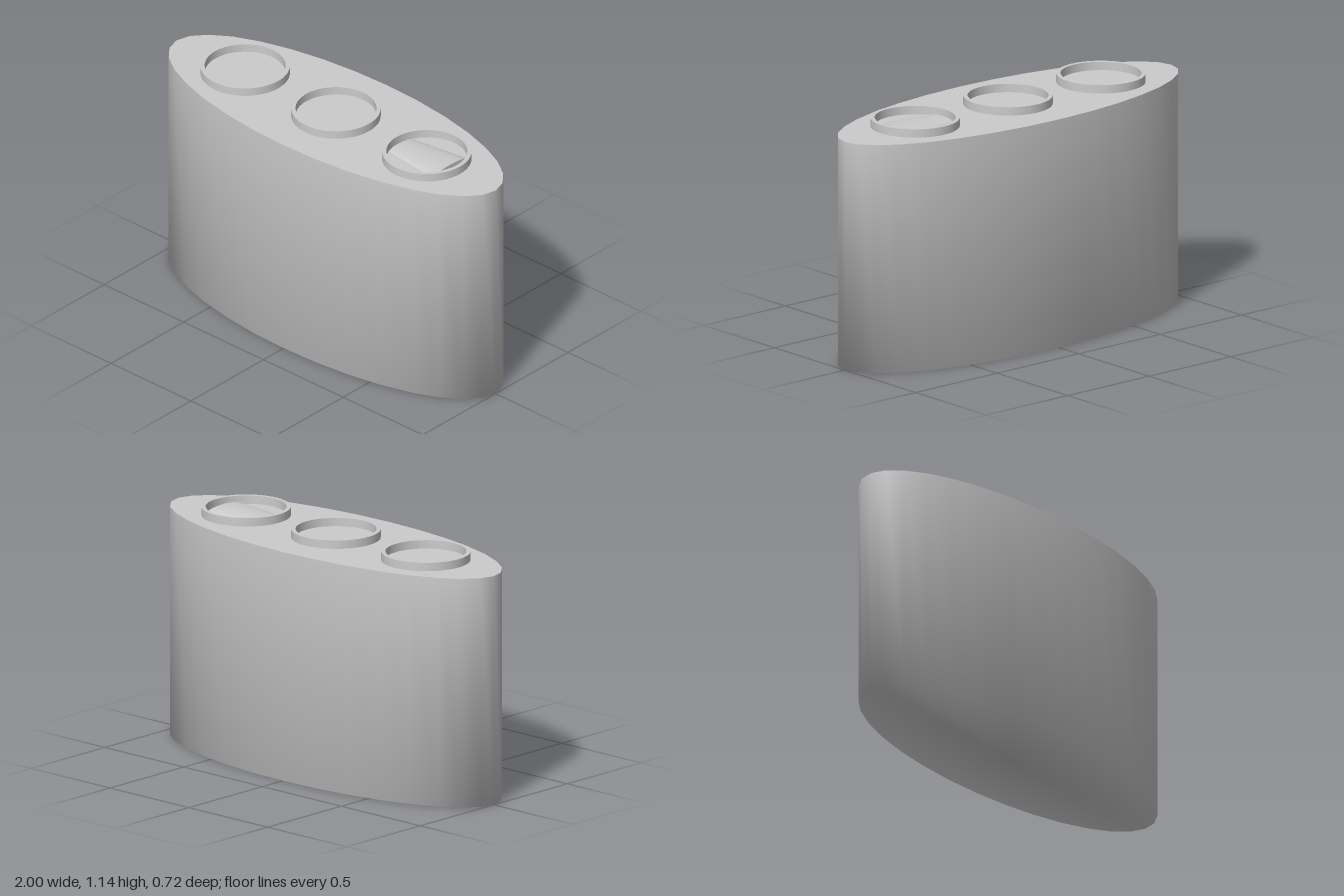
import * as THREE from 'three';

const HEIGHT = 1.1, DEPTH = 0.36;
const material = new THREE.MeshStandardMaterial({ color: 0xcccccc });

// Lathe from [radius, y] pairs; a repeated pair keeps that edge sharp
function lathe(name, points, segments) {
  const geometry = new THREE.LatheGeometry(points.map(([r, y]) => new THREE.Vector2(r, y)), segments);
  const mesh = new THREE.Mesh(geometry, material);
  mesh.name = name;
  return mesh;
}

export function createModel() {
  const group = new THREE.Group();
  group.name = 'ovalBlock';

  // Oval body: softly shaded lower edge, sharp upper edge
  const body = lathe('body', [[0, 0], [1, 0], [1, HEIGHT], [1, HEIGHT], [0, HEIGHT]], 32);
  body.geometry.scale(1, 1, DEPTH);
  group.add(body);

  // Three raised rims in a row on the top
  for (const x of [-0.57, 0, 0.57]) {
    const rim = lathe('rim', [
      [0.208, 0], [0.208, 0.04], [0.208, 0.04],
      [0.188, 0.04], [0.188, 0.04], [0.188, 0],
    ], 48);
    rim.position.set(x, HEIGHT, 0);
    group.add(rim);
  }

  // Low tapered ridge lying inside the left rim
  const ridgeGeometry = new THREE.CylinderGeometry(0.12, 0.08, 0.31, 16, 1, false, Math.PI, Math.PI);
  ridgeGeometry.rotateZ(-Math.PI / 2);
  ridgeGeometry.scale(1, 0.2, 1);
  const ridge = new THREE.Mesh(ridgeGeometry, material);
  ridge.name = 'taperedRidge';
  ridge.position.set(0.56, HEIGHT, 0);
  group.add(ridge);

  return group;
}
